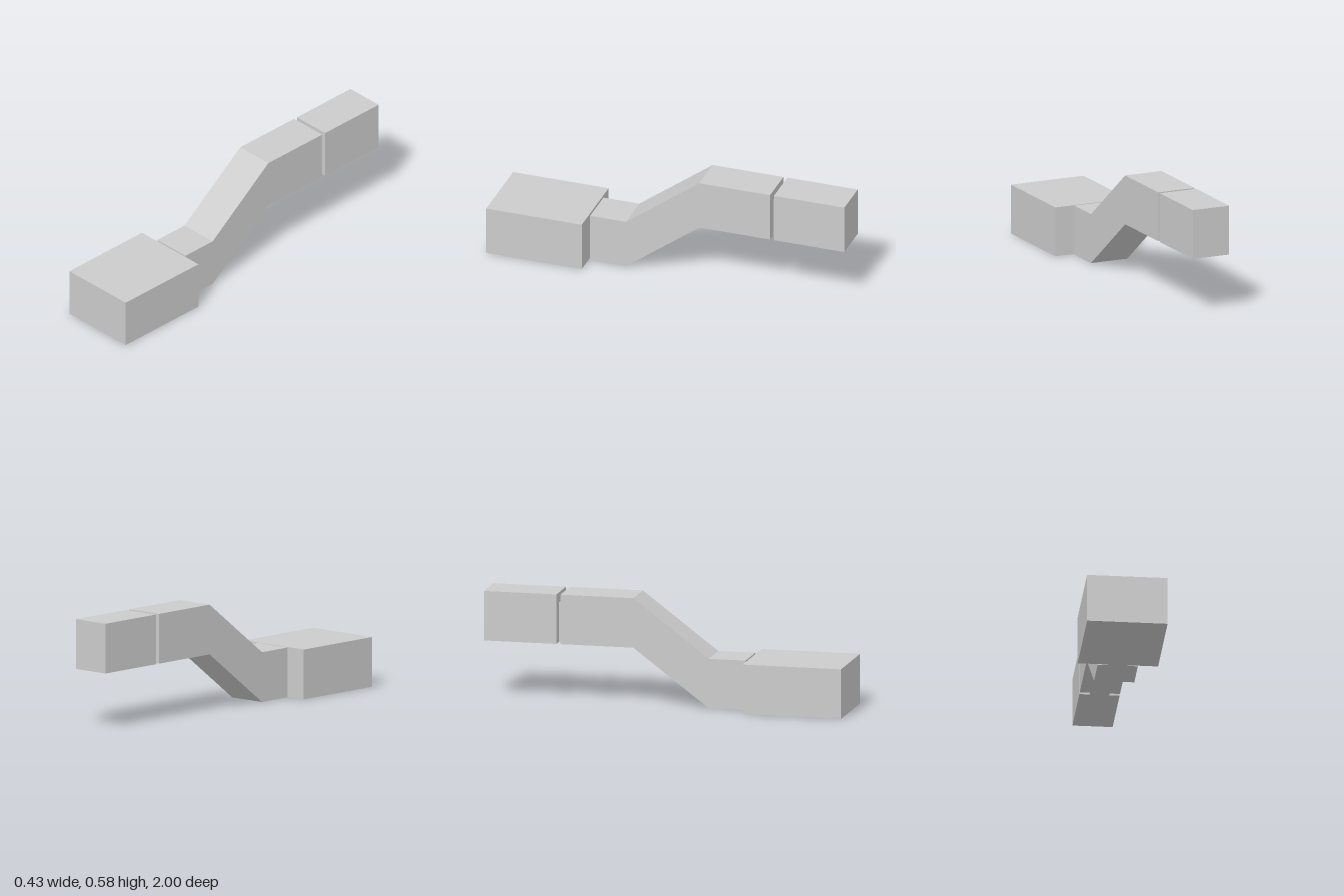
import * as THREE from 'three';

const material = new THREE.MeshStandardMaterial({ color: 0xcccccc, flatShading: true });

// Extrudes a side outline of [z, y] points to a given width, centred on x = 0
function sidePart(name, width, outline) {
  const shape = new THREE.Shape(outline.map(([z, y]) => new THREE.Vector2(z, y)));
  const geometry = new THREE.ExtrudeGeometry(shape, { depth: width, bevelEnabled: false });
  geometry.translate(0, 0, -width / 2).rotateY(-Math.PI / 2);
  const mesh = new THREE.Mesh(geometry, material);
  mesh.name = name;
  return mesh;
}

// Box given by its width and its z and y ranges
function block(name, width, z0, z1, y0, y1) {
  const mesh = new THREE.Mesh(new THREE.BoxGeometry(width, y1 - y0, z1 - z0), material);
  mesh.position.set(0, (y0 + y1) / 2, (z0 + z1) / 2);
  mesh.name = name;
  return mesh;
}

export function createModel() {
  const group = new THREE.Group();
  group.name = 'steppedArm';

  const height = 0.271; // height of every section
  const rise = 0.312; // lift of the rear sections
  const armWidth = 0.217;
  const frontEnd = 0.447, rearEnd = -0.577;

  group.add(
    // Wide front block and narrow rear block
    block('frontBlock', 0.434, 0.456, 1, 0, height),
    block('rearBlock', armWidth, -1, -0.599, rise, rise + height),

    // Cranked middle section
    sidePart('crankedArm', armWidth, [
      [frontEnd, 0], [frontEnd, height], [0.243, height], [-0.174, rise + height],
      [rearEnd, rise + height], [rearEnd, rise], [-0.174, rise], [0.243, 0],
    ]),

    // Thin connectors bridging the gaps
    block('frontConnector', 0.104, frontEnd, 0.456, 0, 0.216),
    block('rearConnector', 0.104, -0.599, rearEnd, rise, rise + 0.216),
  );
  return group;
}
